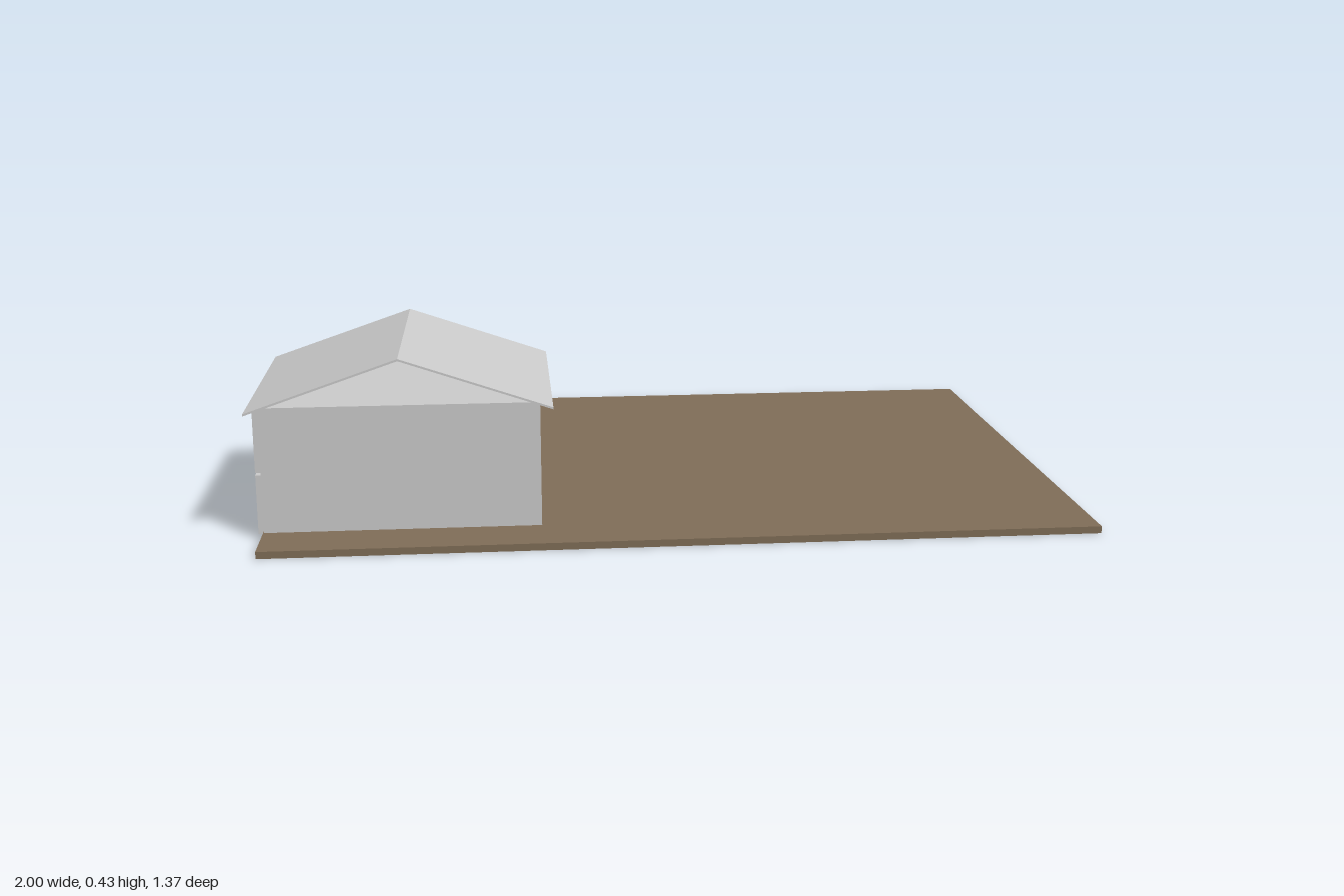
import * as THREE from 'three';

export function createModel() {
  const model = new THREE.Group();
  const soil = new THREE.MeshStandardMaterial({ color: 0x806e58 });
  soil.name = 'soil brown';
  const grey = new THREE.MeshStandardMaterial({ color: 0xcccccc });
  grey.name = 'light grey';

  // Box given by its extents on each axis
  const box = (name, material, [x0, x1], [y0, y1], [z0, z1], parent = model) => {
    const mesh = new THREE.Mesh(new THREE.BoxGeometry(x1 - x0, y1 - y0, z1 - z0), material);
    mesh.position.set((x0 + x1) / 2, (y0 + y1) / 2, (z0 + z1) / 2);
    mesh.name = name;
    parent.add(mesh);
    return mesh;
  };

  // Ground slab
  box('ground', soil, [-0.972, 1], [0, 0.017], [-0.683, 0.683]);

  const house = new THREE.Group();
  house.name = 'house';
  model.add(house);

  // End walls and ceiling
  const left = -0.97, right = -0.32;
  box('frontWall', grey, [left, right], [0.012, 0.318], [0.54, 0.55], house);
  box('backWall', grey, [left, right], [0.012, 0.318], [0, 0.01], house);
  box('ceiling', grey, [left, right], [0.312, 0.318], [0.01, 0.54], house);

  // Two stacked panels on each long side: outside on one, inset on the other
  for (const [side, x0, x1] of [['right', -0.984, left], ['left', -0.336, -0.322]]) {
    box(side + 'LowerPanel', grey, [x0, x1], [0.012, 0.155], [0.011, 0.539], house);
    box(side + 'UpperPanel', grey, [x0, x1], [0.161, 0.308], [0.011, 0.539], house);
  }

  // Thin gable roof, open at both ends
  const ridgeX = -0.645, half = 0.355, eaveY = 0.311, ridgeY = 0.433, t = 0.005;
  for (const s of [-1, 1]) {
    const profile = new THREE.Shape([
      new THREE.Vector2(ridgeX, ridgeY),
      new THREE.Vector2(ridgeX + s * half, eaveY),
      new THREE.Vector2(ridgeX + s * half, eaveY - t),
      new THREE.Vector2(ridgeX, ridgeY - t),
    ]);
    const slope = new THREE.Mesh(
      new THREE.ExtrudeGeometry(profile, { depth: 0.6, bevelEnabled: false }), grey);
    slope.position.z = -0.026;
    slope.name = s < 0 ? 'rightRoofSlope' : 'leftRoofSlope';
    house.add(slope);
  }
  return model;
}
